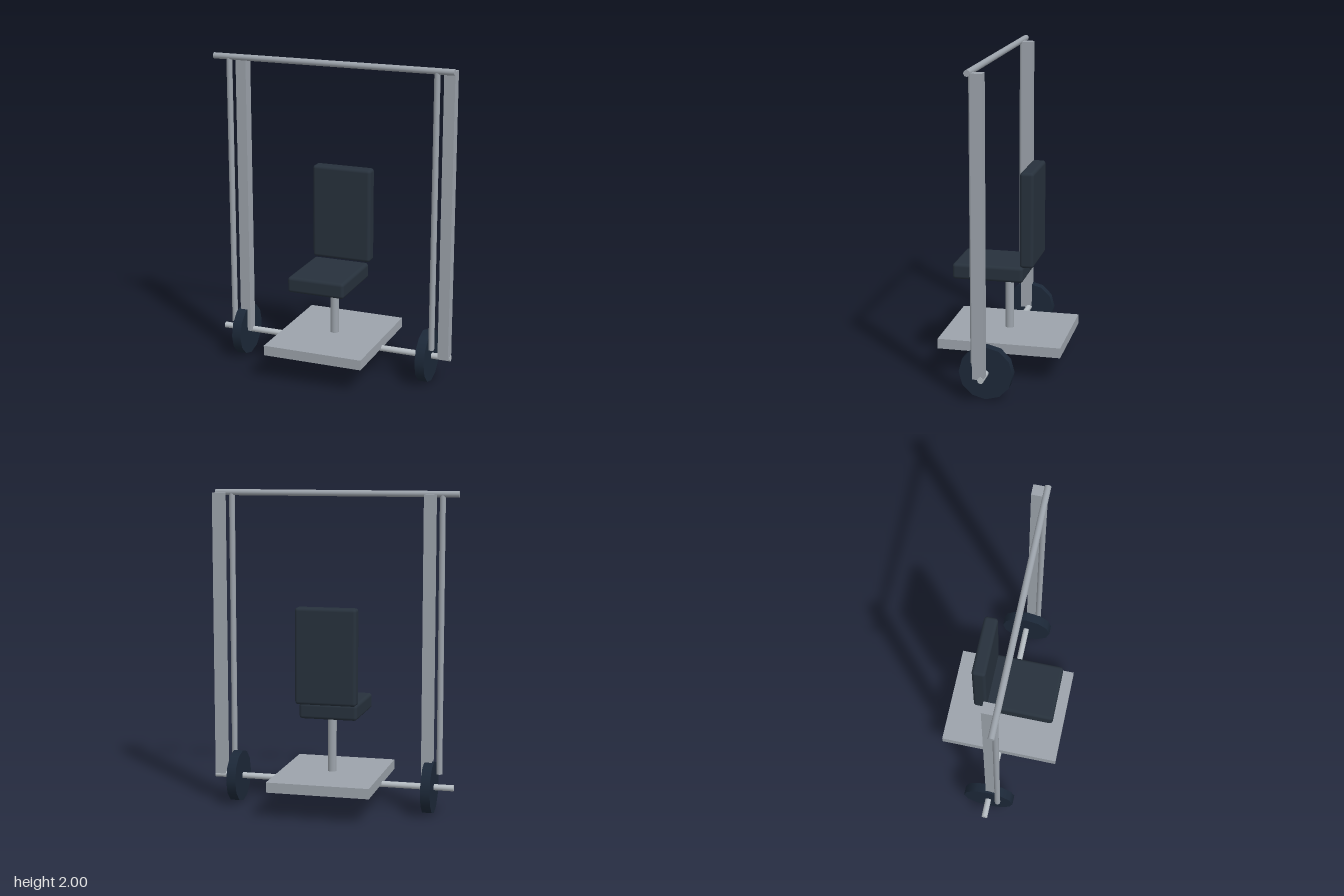
import * as THREE from 'three';
import { RoundedBoxGeometry } from 'three/addons/geometries/RoundedBoxGeometry.js';

const paint = (color) => new THREE.MeshStandardMaterial({ color });

export function createModel() {
  const model = new THREE.Group();
  model.name = 'wheeledSeatFrame';
  const steel = paint(0x9ca3ab);
  const bright = paint(0xb4bbc1);
  const padding = paint(0x27313c);
  const rubber = paint(0x1c2838);

  function add(name, geometry, material, x, y, z) {
    const mesh = new THREE.Mesh(geometry, material);
    mesh.name = name;
    mesh.position.set(x, y, z);
    model.add(mesh);
    return mesh;
  }
  // Cylinder standing along y, or lying along x
  function rod(name, radius, length, material, x, y, z, lying = false, sides = 16) {
    const geometry = new THREE.CylinderGeometry(radius, radius, length, sides);
    if (lying) geometry.rotateZ(Math.PI / 2);
    return add(name, geometry, material, x, y, z);
  }

  // Base plate, axle and overhead bar
  add('basePlate', new THREE.BoxGeometry(0.646, 0.064, 0.778), steel, 0, 0.201, 0);
  rod('axle', 0.0194, 1.555, bright, 0, 0.167, 0, true);
  rod('overheadBar', 0.0194, 1.555, steel, 0, 1.9806, 0.068, true);

  // Wheels
  for (const [side, s] of [['left', 1], ['right', -1]]) {
    rod(side + 'Wheel', 0.165, 0.06, rubber, s * 0.624, 0.165, 0, true, 12);
  }

  // Square uprights and thin rods: both sides share one offset, not mirrored
  for (const [side, x] of [['left', 0.671], ['right', -0.675]]) {
    const outer = x + (side === 'left' ? 0.07 : 0.068);
    add(side + 'Upright', new THREE.BoxGeometry(0.068, 1.81, 0.07), steel, outer, 1.075, 0.017);
    rod(side + 'Rod', 0.0185, 1.74, steel, x, 1.105, 0.068);
  }

  // Seat on its post, with a separate backrest
  rod('seatPost', 0.028, 0.37, steel, 0, 0.415, 0);
  add('seat', new RoundedBoxGeometry(0.37, 0.1, 0.45, 3, 0.02), padding, 0, 0.635, 0.103);
  add('backrest', new RoundedBoxGeometry(0.388, 0.604, 0.087, 3, 0.02), padding, 0, 0.989, -0.147);

  return model;
}
